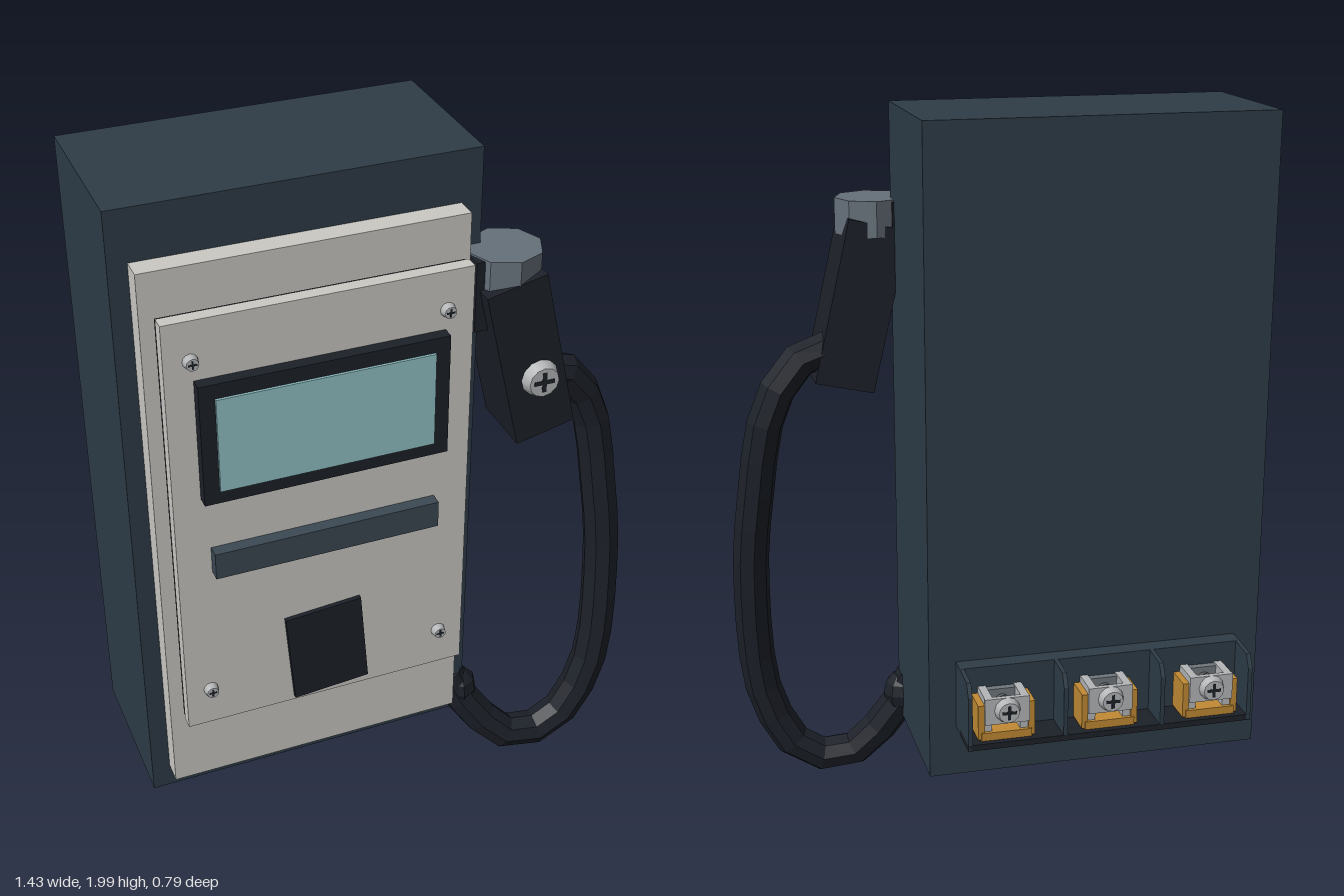
import * as THREE from 'three';

const mat = (color, extra = {}) => new THREE.MeshStandardMaterial({ color, ...extra });
const navy = mat(0x2e3c47), light = mat(0xcac9c4), black = mat(0x1c2028), glass = mat(0x92c3c8);
const slate = mat(0x3b4853), steel = mat(0xb4b6b8), darkSteel = mat(0x6f777d), gold = mat(0xc08a34);
const rubber = mat(0x1c2028, { flatShading: true }), cap = mat(0x66707a, { flatShading: true });

export function createModel() {
  const root = new THREE.Group();

  function add(parent, name, geometry, material, x = 0, y = 0, z = 0) {
    const mesh = new THREE.Mesh(geometry, material);
    mesh.name = name;
    mesh.position.set(x, y, z);
    parent.add(mesh);
    return mesh;
  }
  // Box given by its lower and upper limits on each axis
  const slab = (parent, name, material, x0, x1, y0, y1, z0, z1) =>
    add(parent, name, new THREE.BoxGeometry(x1 - x0, y1 - y0, z1 - z0), material,
      (x0 + x1) / 2, (y0 + y1) / 2, (z0 + z1) / 2);

  // Cross-head screw along z, its head facing +z
  function screw(parent, name, r, headDepth, shaft, x, y, z) {
    const g = new THREE.Group();
    g.name = name;
    g.position.set(x, y, z);
    const head = add(g, 'screwHead', new THREE.CylinderGeometry(r * 0.8, r, headDepth, 12), steel, 0, 0, headDepth / 2);
    head.rotation.x = Math.PI / 2;
    const stem = add(g, 'screwShaft', new THREE.CylinderGeometry(r * 0.4, r * 0.4, shaft, 10), steel, 0, 0, -shaft / 2);
    stem.rotation.x = Math.PI / 2;
    for (const turn of [0, Math.PI / 2]) {
      const slot = add(g, 'screwSlot', new THREE.BoxGeometry(r * 1.1, r * 0.24, 0.002), black, 0, 0, headDepth);
      slot.rotation.z = turn;
    }
    parent.add(g);
    return g;
  }

  // Cabinet and front plate
  slab(root, 'cabinet', navy, -0.71, 0.24, 0.2, 2, -0.235, 0.21);
  slab(root, 'frontPlate', light, -0.66, 0.185, 0.27, 1.86, 0.21, 0.27);

  // Raised control panel with a dark gasket behind it
  const panel = new THREE.Group();
  panel.name = 'controlPanel';
  root.add(panel);
  slab(panel, 'panelGasket', black, -0.63, 0.155, 0.535, 1.755, 0.3, 0.315);
  slab(panel, 'panelFace', light, -0.632, 0.16, 0.53, 1.762, 0.315, 0.352);
  for (const x of [-0.565, 0.09])
    for (const y of [0.645, 1.655]) screw(panel, 'panelScrew', 0.02, 0.02, 0.068, x, y, 0.352);

  // Display: open bezel frame around the screen
  const frame = new THREE.Shape();
  frame.moveTo(-0.56, 1.26).lineTo(0.086, 1.26).lineTo(0.086, 1.6).lineTo(-0.56, 1.6).closePath();
  const hole = new THREE.Path();
  hole.moveTo(-0.52, 1.297).lineTo(-0.52, 1.56).lineTo(0.046, 1.56).lineTo(0.046, 1.297).closePath();
  frame.holes.push(hole);
  add(panel, 'screenBezel', new THREE.ExtrudeGeometry(frame, { depth: 0.033, bevelEnabled: false }), black, 0, 0, 0.352);
  slab(panel, 'screen', glass, -0.52, 0.046, 1.297, 1.56, 0.352, 0.392);
  slab(panel, 'statusStrip', slate, -0.542, 0.066, 1.03, 1.106, 0.352, 0.386);

  // Slightly turned card reader, with its rear housing
  const reader = add(panel, 'cardReader', new THREE.BoxGeometry(0.212, 0.275, 0.07), black, -0.238, 0.69, 0.33);
  reader.rotation.z = 0.075;
  slab(panel, 'readerHousing', black, -0.365, -0.107, 0.55, 0.84, 0.285, 0.3);
  slab(panel, 'readerTab', black, -0.22, -0.17, 0.525, 0.55, 0.315, 0.345);

  // Plug and its holster on the side
  const plug = new THREE.Group();
  plug.name = 'plug';
  root.add(plug);
  slab(plug, 'holster', black, 0.19, 0.245, 1.54, 1.735, 0.155, 0.3);
  const grip = add(plug, 'plugHandle', new THREE.BoxGeometry(0.168, 0.465, 0.19), rubber, 0.335, 1.448, 0.25);
  grip.rotation.z = 0.228;
  add(plug, 'plugCap', new THREE.CylinderGeometry(0.1, 0.1, 0.1, 8), cap, 0.29, 1.69, 0.245);
  screw(plug, 'plugScrew', 0.052, 0.028, 0.03, 0.36, 1.395, 0.345);

  // Looping cable from the handle to the lower side of the cabinet
  const path = new THREE.CatmullRomCurve3([
    [0.41, 1.33, 0.21], [0.5, 1.305, 0.2], [0.592, 1.18, 0.192], [0.645, 0.9, 0.205],
    [0.664, 0.66, 0.225], [0.63, 0.26, 0.255], [0.52, 0.077, 0.25], [0.385, 0.065, 0.24],
    [0.26, 0.2, 0.21], [0.2, 0.32, 0.185],
  ].map(p => new THREE.Vector3(...p)));
  add(root, 'cable', new THREE.TubeGeometry(path, 18, 0.052, 8), rubber);
  const gland = add(root, 'cableGland', new THREE.SphereGeometry(0.058, 8, 6), rubber, 0.232, 0.265, 0.195);
  gland.scale.y = 1.1;

  // Terminal block on the back
  const block = new THREE.Group();
  block.name = 'terminalBlock';
  root.add(block);
  slab(block, 'blockBase', navy, -0.64, 0.165, 0.345, 0.54, -0.285, -0.235);
  slab(block, 'blockShelf', black, -0.64, 0.165, 0.343, 0.36, -0.385, -0.285);
  const wall = new THREE.Shape();
  wall.moveTo(0.28, 0.345).lineTo(0.385, 0.345).lineTo(0.385, 0.5).lineTo(0.365, 0.535).lineTo(0.28, 0.54).closePath();
  for (const x of [-0.634, -0.381, -0.106, 0.159]) {
    const divider = add(block, 'divider', new THREE.ExtrudeGeometry(wall, { depth: 0.012, bevelEnabled: false }), navy, x - 0.006, 0, 0);
    divider.rotation.y = Math.PI / 2;
  }
  // One clamp per wire, each with a coloured marker below
  [[-0.525, 0xa65a35], [-0.235, 0x3f78b5], [0.055, 0x2f9a4c]].forEach(([x, color]) => {
    const g = new THREE.Group();
    g.name = 'terminal';
    g.position.x = x;
    block.add(g);
    for (const s of [-1, 1]) {
      const a = s * 0.07;
      slab(g, 'clampSide', gold, a - 0.009, a + 0.009, 0.365, 0.465, -0.368, -0.287);
      slab(g, 'clampCheek', steel, s * 0.05 - 0.011, s * 0.05 + 0.011, 0.37, 0.485, -0.362, -0.287);
    }
    slab(g, 'clampFloor', gold, -0.07, 0.07, 0.362, 0.385, -0.372, -0.287);
    slab(g, 'clampInner', darkSteel, -0.045, 0.045, 0.385, 0.48, -0.305, -0.285);
    slab(g, 'clampPlate', steel, -0.062, 0.062, 0.41, 0.485, -0.376, -0.362);
    const s = screw(g, 'clampScrew', 0.036, 0.022, 0.07, 0, 0.45, -0.376);
    s.rotation.y = Math.PI;
    for (let i = 0; i < 4; i++)
      add(g, 'screwThread', new THREE.TorusGeometry(0.016, 0.004, 5, 12), darkSteel, 0, 0.45, -0.316 - i * 0.011);
    const marker = add(g, 'wireMarker', new THREE.CapsuleGeometry(0.02, 0.1, 4, 8), mat(color), 0, 0.342, -0.338);
    marker.rotation.z = Math.PI / 2;
  });

  return root;
}
